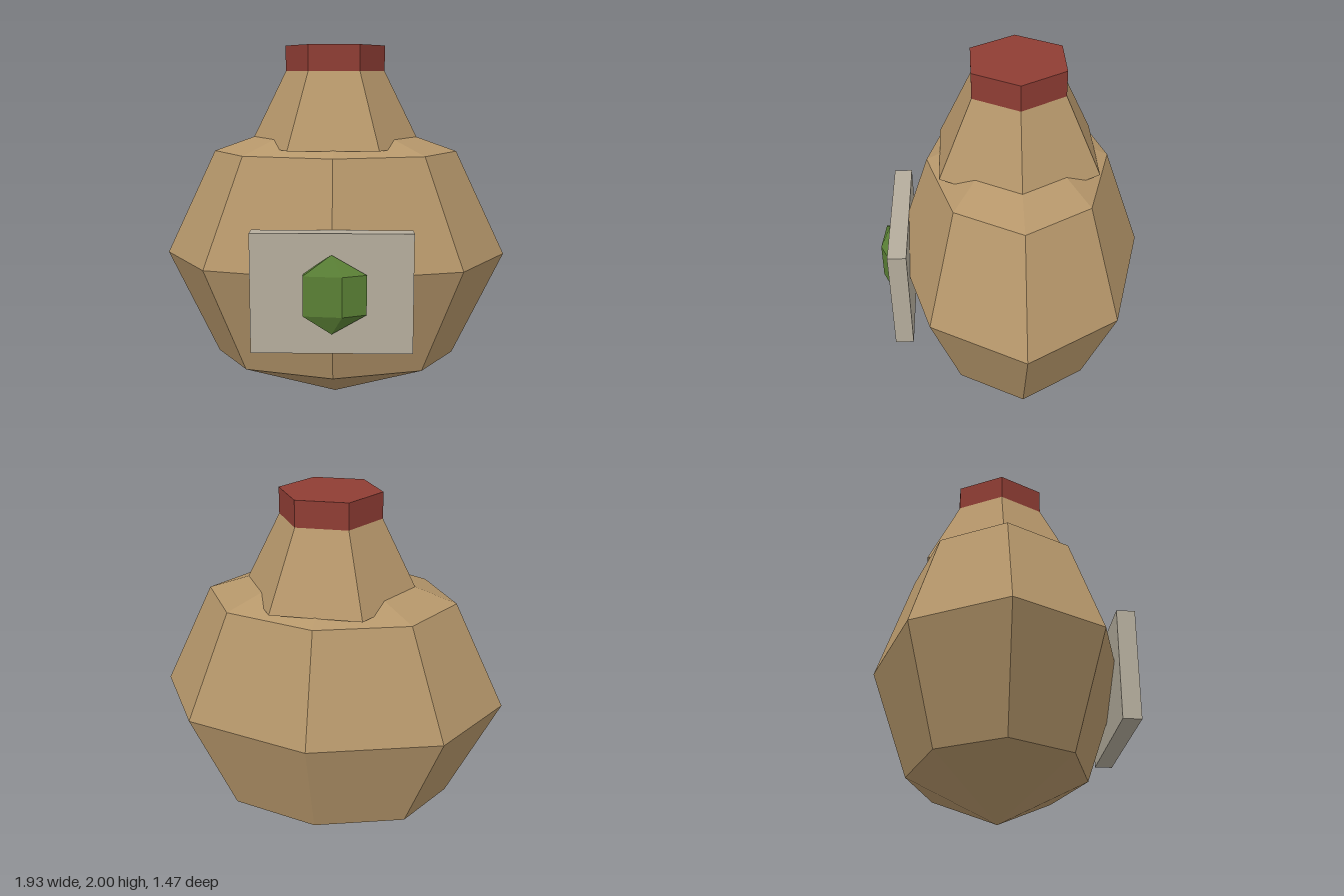
import * as THREE from 'three';

const AXIS_Z = -0.045; // vertical axis of the bottle

export function createModel() {
  const model = new THREE.Group();

  const add = (name, geometry, color, x, y, z) => {
    const material = new THREE.MeshStandardMaterial({ color, flatShading: true });
    const mesh = new THREE.Mesh(geometry, material);
    mesh.name = name;
    mesh.position.set(x, y, z);
    model.add(mesh);
    return mesh;
  };

  // Hexagonal section with a corner pointing to each side
  const hex = (top, bottom, height) =>
    new THREE.CylinderGeometry(top, bottom, height, 6, 1, false, Math.PI / 2);

  // Faceted round body, flattened front to back
  const body = add('body', new THREE.SphereGeometry(1, 8, 4), 0xb5966a, 0, 0.83, AXIS_Z);
  body.scale.set(0.963, 0.83, 0.69);

  // Tapered neck and its cap
  add('neck', hex(0.275, 0.48, 0.41), 0xb5966a, 0, 1.655, AXIS_Z);
  add('cap', hex(0.275, 0.275, 0.14), 0x8f3d34, 0, 1.93, AXIS_Z);

  // Label plate on the front
  add('label', new THREE.BoxGeometry(0.82, 0.615, 0.1), 0xb5ad9d, 0, 0.7625, 0.61);

  // Five-sided emblem stone, half sunk into the plate
  const gem = add('gem', new THREE.SphereGeometry(1, 5, 3, Math.PI), 0x5a8035, 0, 0.7625, 0.675);
  gem.scale.set(0.203, 0.203, 0.067);

  return model;
}
